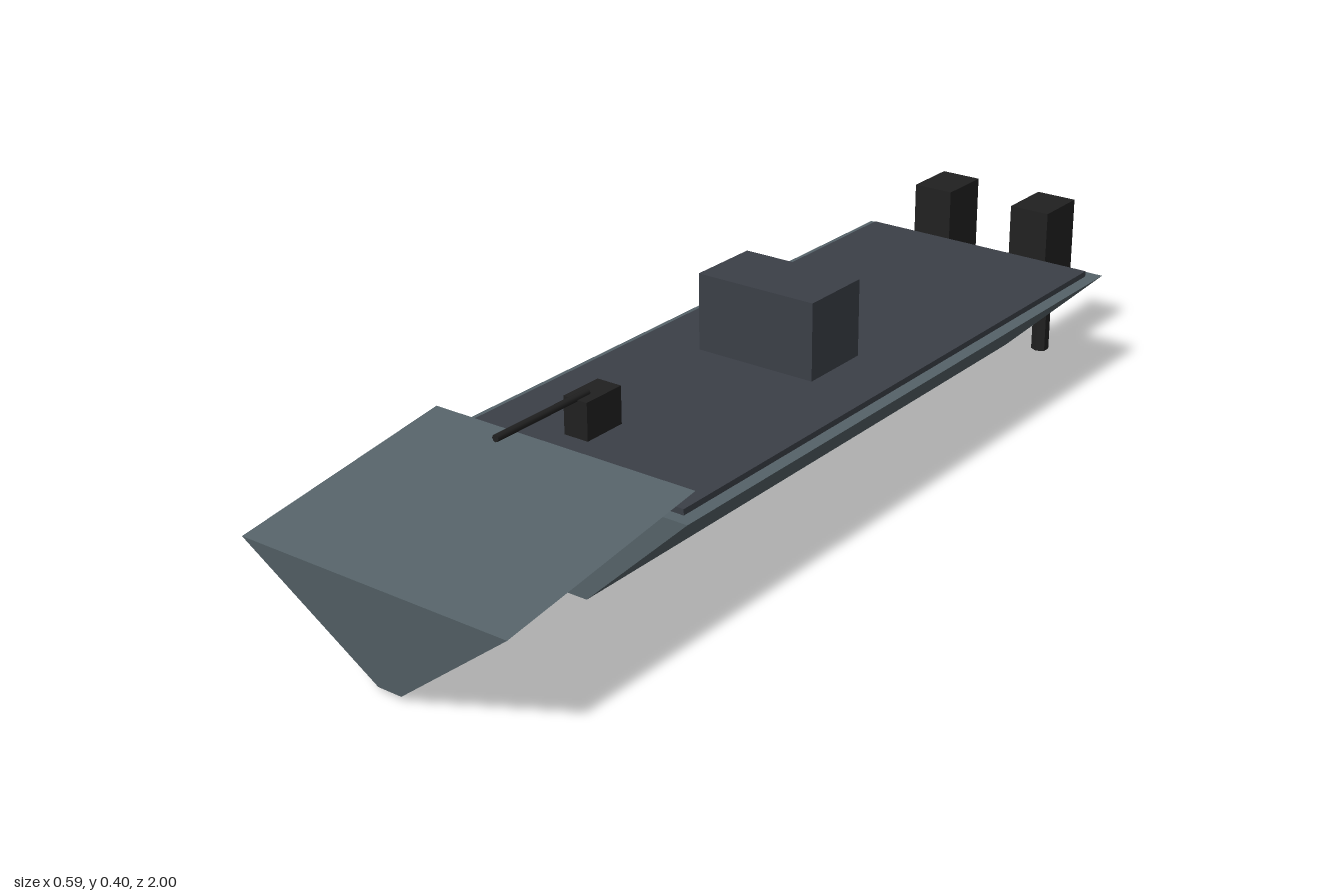
import * as THREE from 'three';

function material(name, color) {
  const m = new THREE.MeshStandardMaterial({ color });
  m.name = name;
  return m;
}

export function createModel() {
  const boat = new THREE.Group();
  boat.name = 'patrolBoat';
  const hullGrey = material('hullGrey', 0x556268);
  const deckGrey = material('deckGrey', 0x3b3f47);
  const black = material('black', 0x202020);

  function add(name, geometry, mat, x, y, z) {
    const mesh = new THREE.Mesh(geometry, mat);
    mesh.name = name;
    mesh.position.set(x, y, z);
    boat.add(mesh);
    return mesh;
  }

  // Trapezoid section hanging below y = 0, extruded towards +z
  function trough(topHalf, bottomHalf, height, length) {
    const s = new THREE.Shape();
    s.moveTo(-bottomHalf, -height);
    s.lineTo(bottomHalf, -height);
    s.lineTo(topHalf, 0);
    s.lineTo(-topHalf, 0);
    s.closePath();
    return new THREE.ExtrudeGeometry(s, { depth: length, bevelEnabled: false });
  }

  // Hull and the downward tilted bow
  add('hull', trough(0.294, 0.068, 0.215, 1.45), hullGrey, 0, 0.231, -0.902);
  const bow = add('bow', trough(0.294, 0.026, 0.212, 0.48), hullGrey, 0, 0.286, 0.525);
  bow.rotation.x = THREE.MathUtils.degToRad(8);

  // Deck plate and console
  add('deck', new THREE.BoxGeometry(0.534, 0.024, 1.4), deckGrey, 0, 0.231, -0.177);
  add('console', new THREE.BoxGeometry(0.267, 0.161, 0.158), deckGrey, 0, 0.3215, -0.126);

  // Bow gun
  add('gunMount', new THREE.BoxGeometry(0.053, 0.074, 0.094), black, 0, 0.324, 0.437);
  const barrel = add('gunBarrel', new THREE.CylinderGeometry(0.007, 0.007, 0.24, 8), black, 0, 0.363, 0.57);
  barrel.rotation.x = Math.PI / 2;

  // Twin outboard engines with six-sided legs
  for (const side of [-1, 1]) {
    const label = side > 0 ? 'left' : 'right';
    add(label + 'Engine', new THREE.BoxGeometry(0.09, 0.157, 0.118), black, side * 0.121, 0.27, -0.941);
    const leg = new THREE.CylinderGeometry(0.019, 0.019, 0.2, 6).toNonIndexed();
    leg.computeVertexNormals();
    add(label + 'EngineLeg', leg, black, side * 0.12, 0.1, -0.965);
  }
  return boat;
}
